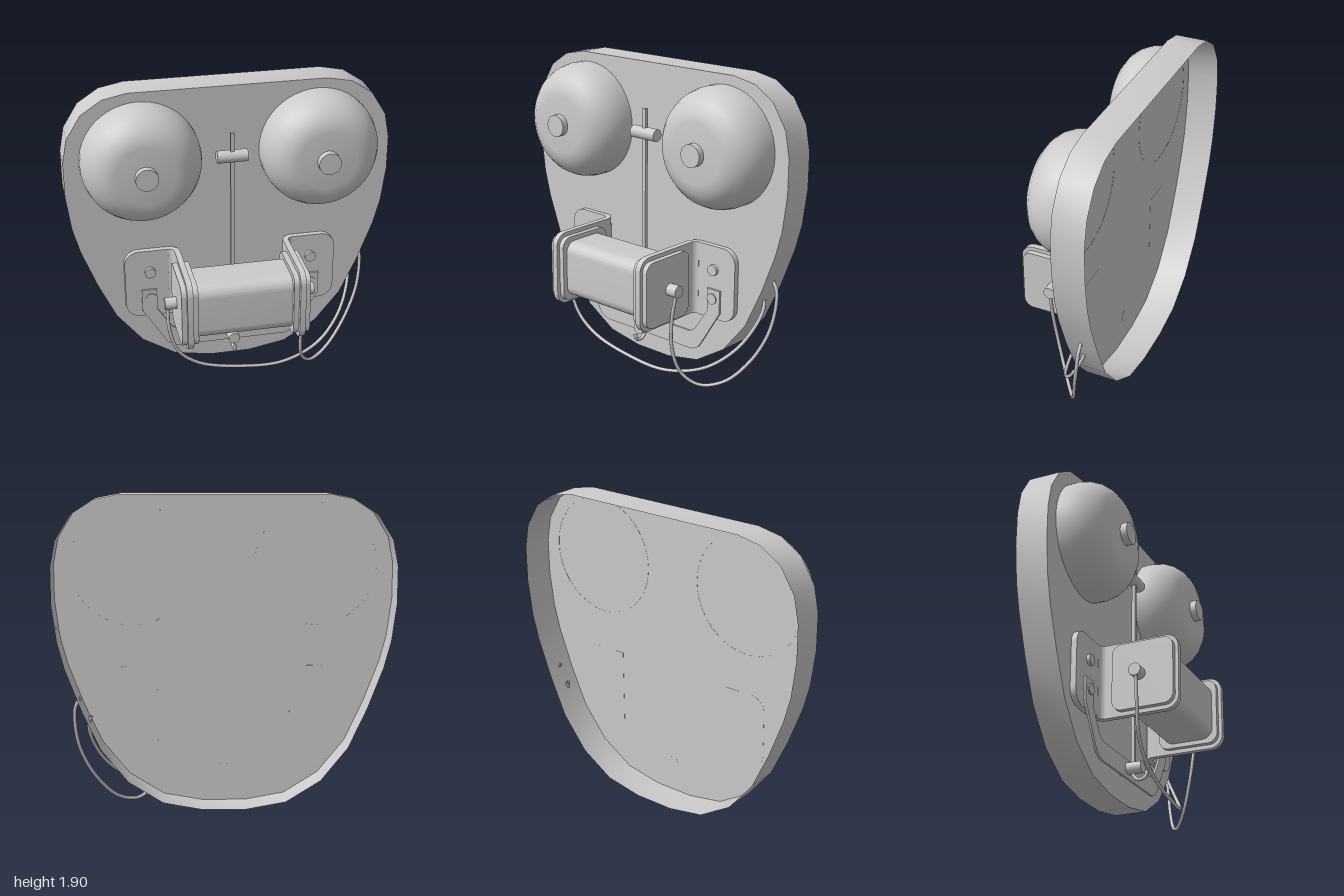
import * as THREE from 'three';
import { toCreasedNormals } from 'three/addons/utils/BufferGeometryUtils.js';

const BOARD_Z = -0.163, BACK_Z = -0.361;
const grey = new THREE.MeshStandardMaterial({ color: 0xcccccc });
const thin = new THREE.MeshStandardMaterial({ color: 0xcccccc, side: THREE.DoubleSide });

function add(parent, name, geometry, material = grey) {
  const mesh = new THREE.Mesh(geometry, material);
  mesh.name = name;
  parent.add(mesh);
  return mesh;
}

// Rectangle with separate corner radii for its left and right ends
function roundRect(x0, y0, x1, y1, rl, rr) {
  const s = new THREE.Shape();
  s.moveTo(x0 + rl, y0).lineTo(x1 - rr, y0);
  if (rr) s.absarc(x1 - rr, y0 + rr, rr, -Math.PI / 2, 0);
  s.lineTo(x1, y1 - rr);
  if (rr) s.absarc(x1 - rr, y1 - rr, rr, 0, Math.PI / 2);
  s.lineTo(x0 + rl, y1);
  if (rl) s.absarc(x0 + rl, y1 - rl, rl, Math.PI / 2, Math.PI);
  s.lineTo(x0, y0 + rl);
  if (rl) s.absarc(x0 + rl, y0 + rl, rl, Math.PI, Math.PI * 1.5);
  return s;
}

function extrude(shape, depth) {
  const g = new THREE.ExtrudeGeometry(shape, { depth, bevelEnabled: false, curveSegments: 8 });
  return toCreasedNormals(g, 0.6);
}

// Extrusion along x; the shape is drawn in (-z, y)
const extrudeX = (shape, x0, x1) => extrude(shape, x1 - x0).rotateY(Math.PI / 2).translate(x0, 0, 0);

// Cylinders along z and x
const cylZ = (r, x, y, z0, z1) =>
  new THREE.CylinderGeometry(r, r, z1 - z0, 24).rotateX(Math.PI / 2).translate(x, y, (z0 + z1) / 2);
const cylX = (r, x0, x1, y, z) =>
  new THREE.CylinderGeometry(r, r, x1 - x0, 24).rotateZ(Math.PI / 2).translate((x0 + x1) / 2, y, z);

const tube = (points, r, segments) => new THREE.TubeGeometry(
  new THREE.CatmullRomCurve3(points.map((p) => new THREE.Vector3(...p))), segments, r, 8);

// Shallow tray: front panel and rim wall, open at the back
function backboard(root) {
  const half = [[0.13, 0.037], [0.364, 0.08], [0.57, 0.21], [0.73, 0.41], [0.84, 0.65], [0.93, 0.89],
    [0.972, 1.05], [1, 1.27], [1, 1.487], [0.97, 1.64], [0.88, 1.785], [0.75, 1.87], [0.6, 1.9]];
  const outline = [...half, ...half.map(([x, y]) => [-x, y]).reverse()];
  const group = new THREE.Group();
  group.name = 'backboard';
  root.add(group);
  const shape = new THREE.Shape(outline.map(([x, y]) => new THREE.Vector2(x, y)));
  add(group, 'frontPanel', new THREE.ShapeGeometry(shape).translate(0, 0, BOARD_Z), thin);
  const pos = [];
  outline.forEach(([ax, ay], i) => {
    const [bx, by] = outline[(i + 1) % outline.length];
    pos.push(ax, ay, BACK_Z, bx, by, BACK_Z, bx, by, BOARD_Z);
    pos.push(ax, ay, BACK_Z, bx, by, BOARD_Z, ax, ay, BOARD_Z);
  });
  const wall = new THREE.BufferGeometry();
  wall.setAttribute('position', new THREE.Float32BufferAttribute(pos, 3));
  add(group, 'rimWall', toCreasedNormals(wall, 0.5), thin);
}

function bell(root, x) {
  const profile = [[0.362, -0.164], [0.362, -0.1], [0.35, -0.04], [0.325, 0.012], [0.288, 0.055],
    [0.24, 0.088], [0.18, 0.104], [0, 0.107]].map(([r, z]) => new THREE.Vector2(r, z));
  const group = new THREE.Group();
  group.name = 'bell';
  group.position.set(x, 1.48, 0);
  root.add(group);
  add(group, 'gong', new THREE.LatheGeometry(profile, 48).rotateX(Math.PI / 2), thin);
  add(group, 'gongScrew', cylZ(0.068, 0, 0, 0.09, 0.147));
}

// One end of the electromagnet, centred on y = 0 so a half turn gives the other end
function coilEnd(root, turn) {
  const group = new THREE.Group();
  group.name = 'coilEnd';
  group.position.y = 0.64;
  group.rotation.z = turn;
  root.add(group);
  const h = 0.23, x0 = 0.326, t = 0.036, bend = 0.07;
  add(group, 'bracketArm', extrudeX(roundRect(-0.361, -h, -BOARD_Z - bend, h, 0.08, 0), x0, x0 + t));
  const corner = new THREE.Shape();
  const cx = x0 + bend, cy = -BOARD_Z - bend;
  corner.absarc(cx, cy, bend, Math.PI, Math.PI / 2, true);
  corner.absarc(cx, cy, bend - t, Math.PI / 2, Math.PI, false);
  add(group, 'bracketBend', extrude(corner, 2 * h).rotateX(-Math.PI / 2).translate(0, -h, 0));
  add(group, 'bracketPlate', extrude(roundRect(cx, -h, 0.67, h, 0, 0.09), t).translate(0, 0, BOARD_Z - 0.001));
  for (const x of [x0 - 0.034, x0 + t])
    add(group, 'flange', extrudeX(roundRect(-0.34, -0.205, 0.04, 0.205, 0.06, 0.06), x, x + 0.032));
  add(group, 'terminal', cylX(0.038, 0.38, 0.465, 0, 0.133));
}

// Flat U-shaped strap under the coil
function strap(root) {
  const outer = [[0.57, 0.6], [0.57, 0.455], [0.44, 0.24], [0.41, 0.195], [0.36, 0.17]];
  const inner = [[0.34, 0.285], [0.385, 0.315], [0.475, 0.455], [0.475, 0.6]];
  const right = [...inner, ...outer];
  // Walk the right side inside to outside, then the left side back
  const pts = [...right, ...right.map(([x, y]) => [-x, y]).reverse()];
  const shape = new THREE.Shape(pts.map(([x, y]) => new THREE.Vector2(x, y)));
  add(root, 'strap', extrude(shape, 0.014).translate(0, 0, -0.129));
}

function striker(root) {
  const group = new THREE.Group();
  group.name = 'striker';
  root.add(group);
  add(group, 'pivotPost', cylZ(0.037, 0, 0.23, BOARD_Z - 0.001, -0.02));
  add(group, 'strikerRod', new THREE.BoxGeometry(0.024, 1.435, 0.022).translate(0, 0.9175, -0.081));
  add(group, 'strikerHead', cylX(0.038, -0.094, 0.094, 1.482, -0.085));
  add(group, 'rodHook', tube([[0, 0.22, -0.081], [0, 0.18, -0.078], [0, 0.158, -0.055],
    [0, 0.157, -0.025], [0, 0.172, 0], [0, 0.205, 0.005]], 0.012, 20));
}

export function createModel() {
  const root = new THREE.Group();
  root.name = 'electricBell';
  backboard(root);
  for (const x of [-0.543, 0.543]) bell(root, x);

  // Electromagnet
  add(root, 'coil', extrudeX(roundRect(-0.31, 0.462, 0.01, 0.816, 0.07, 0.07), -0.3, 0.3));
  for (const turn of [0, Math.PI]) coilEnd(root, turn);
  for (const x of [-0.513, 0.513])
    for (const y of [0.54, 0.722]) add(root, 'bracketScrew', cylZ(0.034, x, y, -0.14, -0.107));

  strap(root);
  striker(root);

  // Wires from the terminals into the rim wall
  add(root, 'leftWire', tube([[-0.45, 0.63, 0.135], [-0.44, 0.45, 0.138], [-0.385, 0.28, 0.125],
    [-0.25, 0.165, 0.11], [0, 0.092, 0.09], [0.3, 0.07, 0.065], [0.55, 0.135, -0.01],
    [0.71, 0.27, -0.11], [0.79, 0.43, -0.2], [0.805, 0.53, -0.245], [0.79, 0.59, -0.26]], 0.011, 80), thin);
  add(root, 'rightWire', tube([[0.445, 0.63, 0.135], [0.415, 0.45, 0.138], [0.4, 0.25, 0.115],
    [0.43, 0.09, 0.065], [0.515, 0.012, -0.01], [0.64, 0.045, -0.095], [0.77, 0.19, -0.17],
    [0.86, 0.38, -0.222], [0.887, 0.55, -0.25], [0.88, 0.65, -0.26], [0.85, 0.7, -0.262]], 0.011, 80), thin);
  return root;
}
